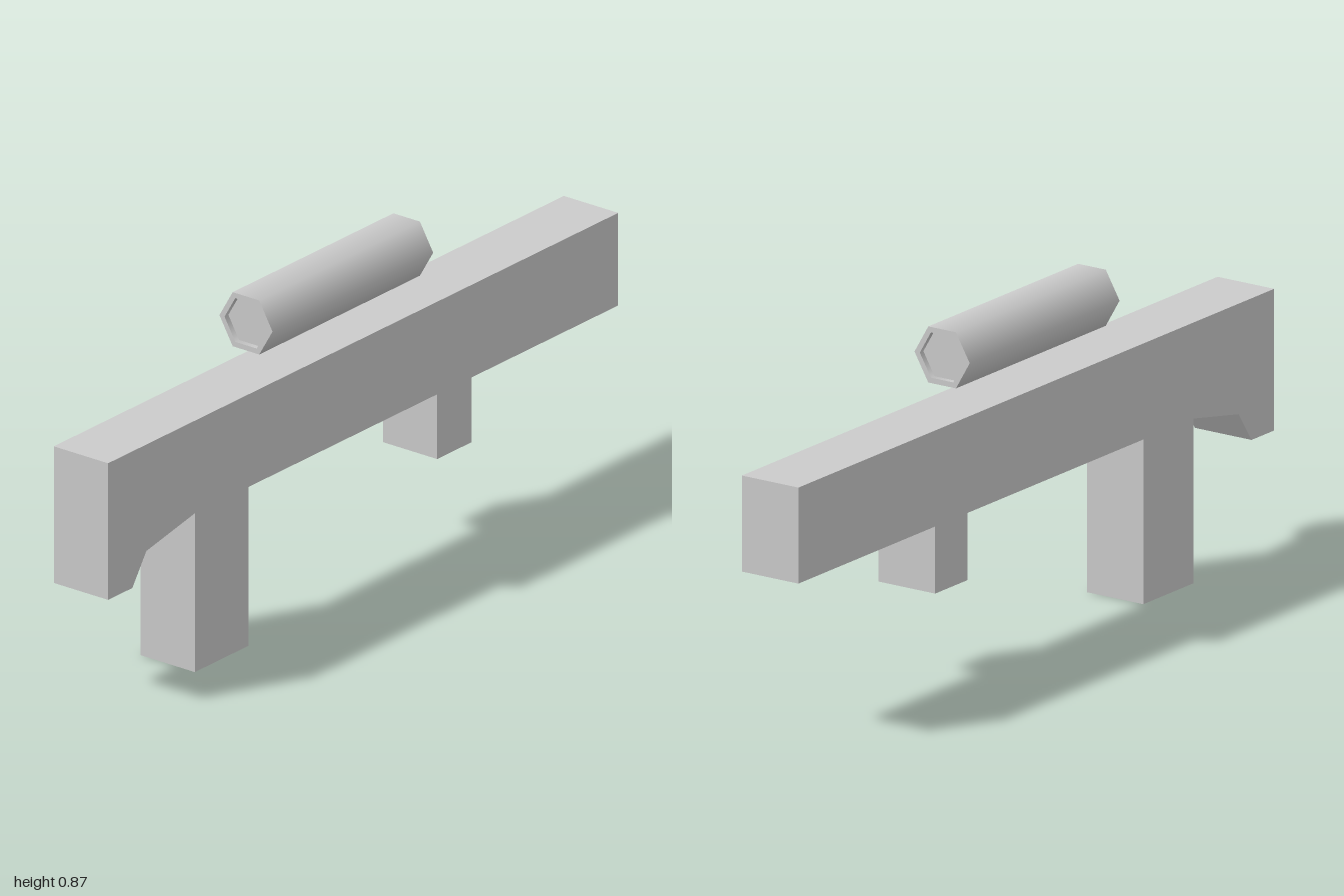
import * as THREE from 'three';

const HALF_WIDTH = 0.085;
const grey = new THREE.MeshStandardMaterial({ color: 0xcccccc });
const greyInside = new THREE.MeshStandardMaterial({ color: 0xcccccc, side: THREE.BackSide });

function addPart(parent, name, geometry, material = grey) {
  const mesh = new THREE.Mesh(geometry, material);
  mesh.name = name;
  parent.add(mesh);
  return mesh;
}

// Open six-sided tube along z with smooth normals and corners at +x and -x
function hexTube(radius, length) {
  return new THREE.CylinderGeometry(radius, radius, length, 6, 1, true, Math.PI / 2).rotateX(Math.PI / 2);
}

// Side outline as (z, y), extruded across x: bar, stock heel, grip and magazine
function bodyGeometry() {
  const outline = [
    [1, 0.668], [1, 0.305], [0.905, 0.305], [0.85, 0.385], [0.66, 0.422],
    [0.66, 0], [0.45, 0], [0.45, 0.422],
    [-0.29, 0.422], [-0.29, 0.25], [-0.425, 0.25], [-0.425, 0.422],
    [-1, 0.422], [-1, 0.668],
  ].map(([z, y]) => new THREE.Vector2(z, y));
  return new THREE.ExtrudeGeometry(new THREE.Shape(outline), { depth: 2 * HALF_WIDTH, bevelEnabled: false })
    .translate(0, 0, -HALF_WIDTH)
    .rotateY(-Math.PI / 2);
}

// Floating hexagonal scope with a shallow recess at each end
function createScope() {
  const radius = 0.083, inner = 0.067, length = 0.63, recess = 0.015;
  const scope = new THREE.Group();
  scope.name = 'scope';
  addPart(scope, 'scopeTube', hexTube(radius, length));

  for (const [side, angle] of [['front', 0], ['back', Math.PI]]) {
    const end = new THREE.Group();
    end.name = `${side}ScopeEnd`;
    end.rotation.y = angle;
    addPart(end, `${side}Rim`, new THREE.RingGeometry(inner, radius, 6)).position.z = length / 2;
    addPart(end, `${side}RecessWall`, hexTube(inner, recess), greyInside).position.z = (length - recess) / 2;
    addPart(end, `${side}Lens`, new THREE.CircleGeometry(inner, 6)).position.z = length / 2 - recess;
    scope.add(end);
  }
  scope.position.set(0, 0.802, 0.038);
  return scope;
}

export function createModel() {
  const model = new THREE.Group();
  model.name = 'blockRifle';
  addPart(model, 'body', bodyGeometry());
  model.add(createScope());
  return model;
}
